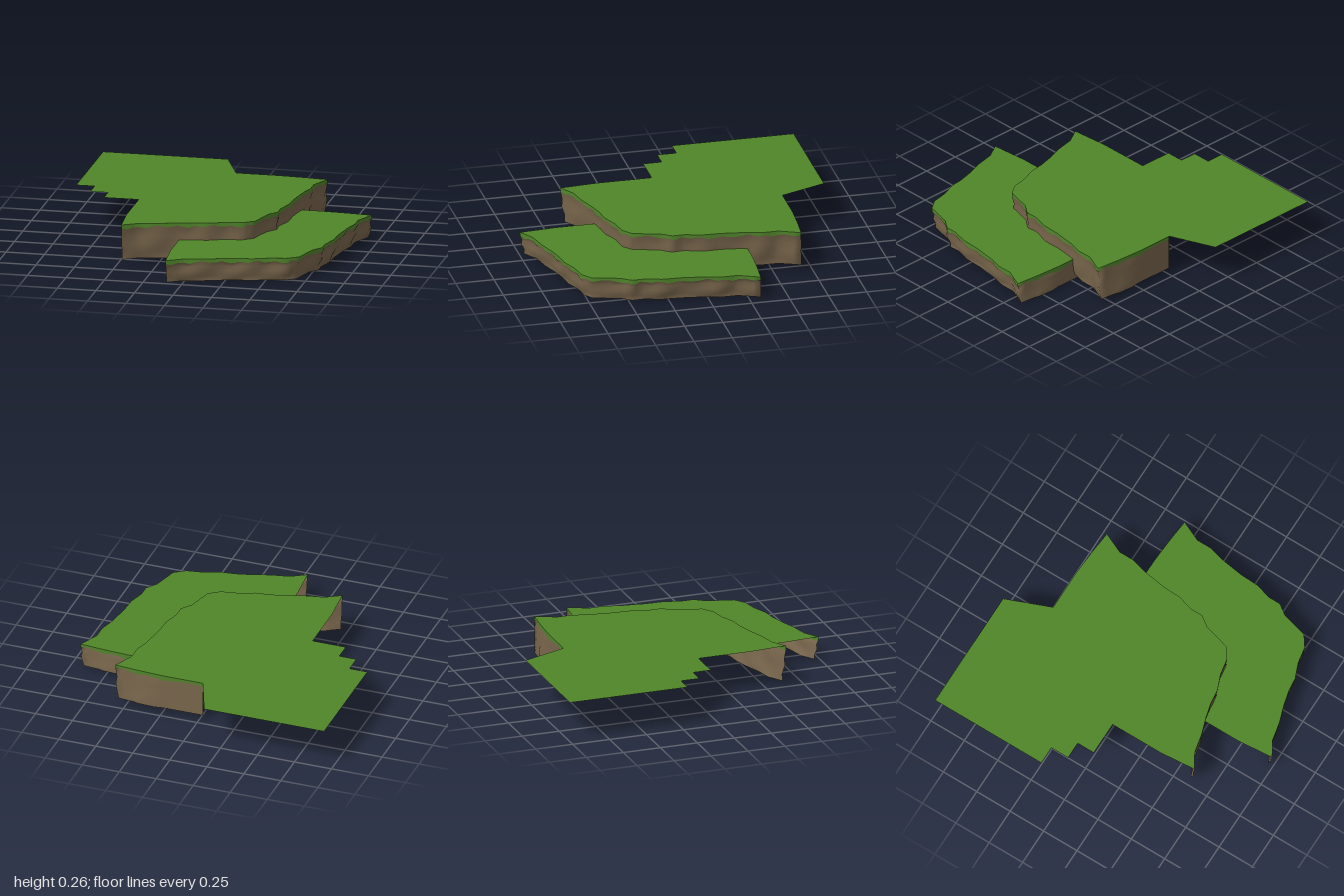
import * as THREE from 'three';

// Cliff rim outline [x, z]: front left corner, round the right side, to the back
const RIM = [
  [-0.47, 0.64], [-0.37, 0.58], [-0.25, 0.555], [-0.13, 0.515], [-0.03, 0.49], [0.06, 0.48],
  [0.16, 0.44], [0.27, 0.42], [0.34, 0.37], [0.385, 0.2], [0.435, 0.13], [0.435, 0.05],
  [0.465, -0.06], [0.47, -0.18], [0.495, -0.35], [0.52, -0.44], [0.52, -0.54], [0.58, -0.675],
  [0.42, -0.69], [0.25, -0.7], [-0.02, -0.7],
];
const CORNER = 17; // index of the back right corner
// Cliff profile: [fraction of the height below the rim, inset]
const PROFILE = [[0.35, 0.012], [0.55, 0.006], [0.8, 0.02], [1, 0.025]];

export function createModel() {
  const grass = new THREE.MeshStandardMaterial({ color: 0x50862a, side: THREE.DoubleSide });
  grass.name = 'grass green';
  const earth = new THREE.MeshStandardMaterial({ color: 0x7a674d, side: THREE.DoubleSide });
  earth.name = 'earth brown';

  // Split the rim into short steps, each with its inward direction
  const points = [];
  RIM.forEach(([x, z], i) => {
    const next = RIM[i + 1];
    const steps = next ? 3 : 1;
    for (let s = 0; s < steps; s++) {
      const t = s / steps;
      points.push({
        x: next ? x + (next[0] - x) * t : x,
        z: next ? z + (next[1] - z) * t : z,
        seg: i + t,
      });
    }
  });
  points.forEach((p, i) => {
    const a = points[Math.max(i - 2, 0)], b = points[Math.min(i + 2, points.length - 1)];
    const dx = b.x - a.x, dz = b.z - a.z, len = Math.hypot(dx, dz);
    p.nx = dz / len;
    p.nz = -dx / len;
    if (p.seg < 1) { p.nx = 0; p.nz = -1; }
    if (Math.abs(p.seg - CORNER) < 0.7) { p.nx = -1; p.nz = -0.3; }
    if (p.seg >= CORNER + 0.7) { p.nx = 0; p.nz = p.seg < 19 ? -0.5 : 0; }
  });

  // Smooth surface through rows of points, the first row on top
  function strip(rows) {
    const n = rows[0].length, index = [];
    for (let r = 0; r < rows.length - 1; r++) {
      for (let i = 0; i < n - 1; i++) {
        const a = r * n + i, b = a + n;
        index.push(b, b + 1, a + 1, b, a + 1, a);
      }
    }
    const g = new THREE.BufferGeometry();
    g.setAttribute('position', new THREE.Float32BufferAttribute(rows.flat(2), 3));
    g.setIndex(index);
    g.computeVertexNormals();
    return g;
  }

  function terrace(name, inner, top, bottom) {
    const group = new THREE.Group();
    group.name = name;
    const add = (part, geometry, material) => {
      const mesh = new THREE.Mesh(geometry, material);
      mesh.name = part;
      group.add(mesh);
    };
    // Grass sheet
    const shape = new THREE.Shape([...RIM, ...inner].map(([x, z]) => new THREE.Vector2(x, -z)));
    add('grassTop', new THREE.ShapeGeometry(shape).rotateX(-Math.PI / 2).translate(0, top, 0), grass);
    // Ragged grass edge, then the earth wall below it
    const rim = points.map((p) => [p.x, top, p.z]);
    const fringe = points.map((p, i) => [
      p.x, top - 0.024 - 0.007 * Math.sin(i * 1.9) - 0.004 * Math.sin(i * 0.7), p.z,
    ]);
    const wall = PROFILE.map(([f, inset], r) => points.map((p, i) => {
      const d = inset * (1 + (r < 3 ? 0.4 * Math.sin(i * 0.8 + r) : 0));
      return [p.x + p.nx * d, top - (top - bottom) * f, p.z + p.nz * d];
    }));
    add('grassFringe', strip([rim, fringe]), grass);
    add('earthWall', strip([fringe, ...wall]), earth);
    return group;
  }

  const model = new THREE.Group();
  model.name = 'terracedHill';
  // Upper terrace with its stepped left edge and rear extension
  model.add(terrace('upperTerrace', [
    [-0.14, -1], [-0.95, -1], [-0.95, -0.205], [-0.83, -0.205], [-0.83, -0.08],
    [-0.715, -0.08], [-0.715, 0.04], [-0.49, 0.04], [-0.49, 0.4],
  ], 0.265, 0.03));
  // Lower terrace ends just inside the upper cliff
  const lower = terrace('lowerTerrace', [
    [-0.02, -0.25], [-0.06, -0.1], [-0.2, 0.02], [-0.49, 0.1], [-0.49, 0.4],
  ], 0.15, 0);
  lower.position.set(0.365, 0, 0.353);
  model.add(lower);
  return model;
}
